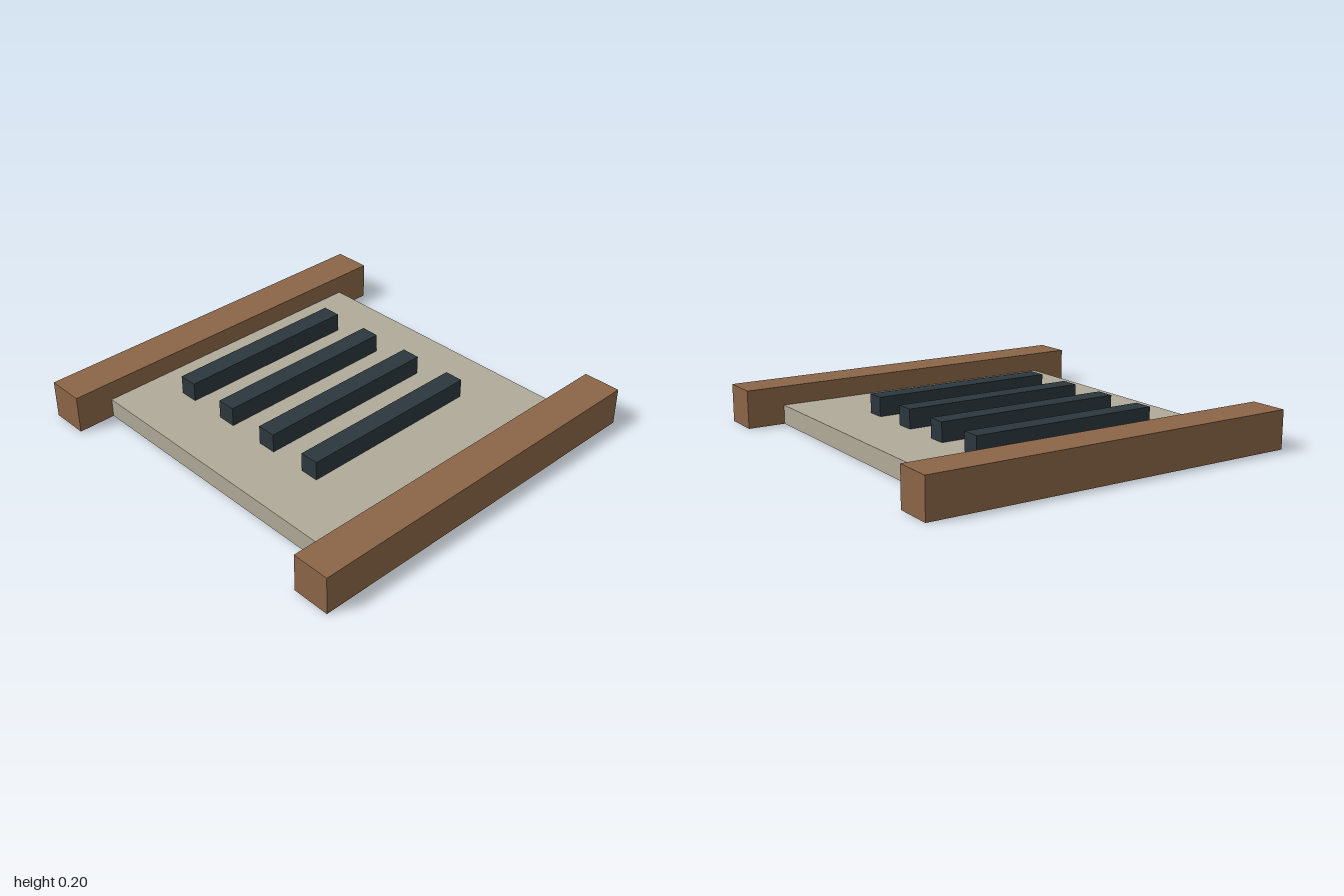
import * as THREE from 'three';

const wood = new THREE.MeshStandardMaterial({ color: 0x8b6648 });
const stone = new THREE.MeshStandardMaterial({ color: 0xb0aa98 });
const iron = new THREE.MeshStandardMaterial({ color: 0x2c373e });

export function createModel() {
  const model = new THREE.Group();

  // Box resting on height y
  const addBox = (name, material, [w, h, d], y, z) => {
    const mesh = new THREE.Mesh(new THREE.BoxGeometry(w, h, d), material);
    mesh.name = name;
    mesh.position.set(0, y + h / 2, z);
    model.add(mesh);
  };

  // Flat base between the rails
  addBox('basePanel', stone, [1.6, 0.1, 1.6], 0, 0);

  // Wooden rails at front and back
  addBox('frontRail', wood, [2, 0.2, 0.2], 0, 0.9);
  addBox('backRail', wood, [2, 0.2, 0.2], 0, -0.9);

  // Evenly spaced dark bars, set slightly towards the back
  for (let i = 0; i < 4; i++) {
    addBox(`crossBar${i + 1}`, iron, [1, 0.1, 0.1], 0.1, -0.55 + i * 0.3);
  }

  return model;
}
